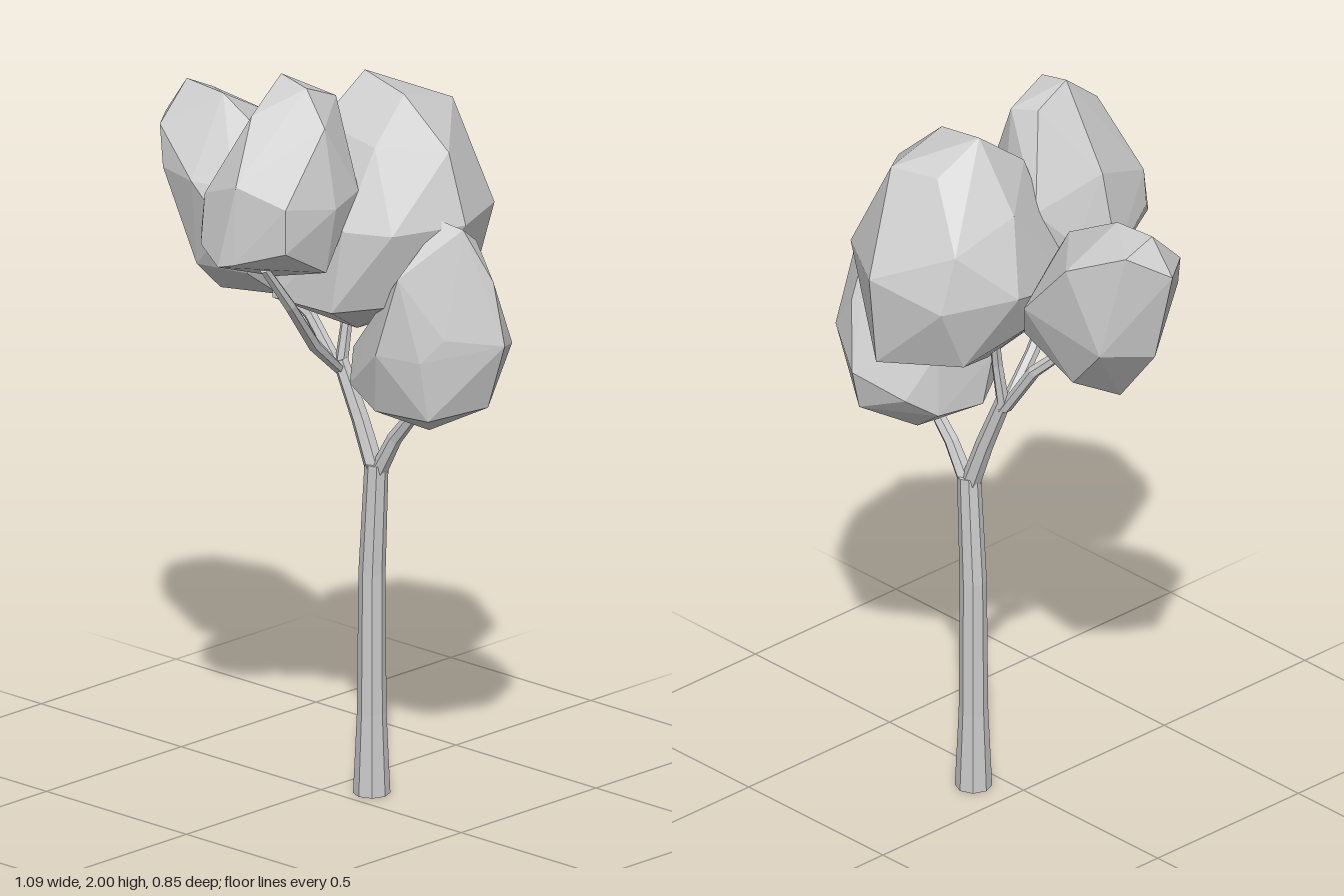
import * as THREE from 'three';
import { ConvexGeometry } from 'three/addons/geometries/ConvexGeometry.js';

const material = new THREE.MeshStandardMaterial({ color: 0xcccccc, flatShading: true });
const V = (p) => new THREE.Vector3(...p);

// Tapered limb: a cylinder whose rings follow [x, y, z, radius] stations
function limb(name, stations, sides) {
  const n = stations.length - 1;
  const geo = new THREE.CylinderGeometry(1, 1, n, sides, n);
  const pts = stations.map((s) => V(s.slice(0, 3)));
  const turns = pts.map((_, i) => {
    const dir = pts[Math.min(i + 1, n)].clone().sub(pts[Math.max(i - 1, 0)]).normalize();
    if (i === 0) dir.set(0, 1, 0);
    return new THREE.Quaternion().setFromUnitVectors(new THREE.Vector3(0, 1, 0), dir);
  });
  const pos = geo.attributes.position;
  const v = new THREE.Vector3();
  for (let i = 0; i < pos.count; i++) {
    v.fromBufferAttribute(pos, i);
    const k = Math.round(v.y + n / 2);
    v.setY(0).multiplyScalar(stations[k][3]).applyQuaternion(turns[k]).add(pts[k]);
    pos.setXYZ(i, v.x, v.y, v.z);
  }
  geo.computeVertexNormals();
  const mesh = new THREE.Mesh(geo, material);
  mesh.name = name;
  return mesh;
}

// Faceted leaf clump: the hull around a few rings of corners
function clump(name, corners) {
  const mesh = new THREE.Mesh(new ConvexGeometry(corners.map(V)), material);
  mesh.name = name;
  return mesh;
}

export function createModel() {
  const tree = new THREE.Group();
  tree.name = 'tree';

  // Trunk and branches
  tree.add(
    limb('trunk', [[0.11, 0, -0.073, 0.048], [0.11, 0.22, -0.073, 0.038], [0.112, 0.6, -0.072, 0.035], [0.13, 0.9, -0.07, 0.031]], 8),
    limb('mainBranch', [[0.13, 0.87, -0.07, 0.028], [0.08, 1.01, -0.062, 0.024], [0.02, 1.16, -0.05, 0.021]], 6),
    limb('rightBranch', [[0.13, 0.87, -0.07, 0.026], [0.19, 0.98, -0.075, 0.02], [0.28, 1.09, -0.08, 0.016]], 6),
    limb('leftBranch', [[0.02, 1.13, -0.05, 0.019], [-0.07, 1.27, -0.03, 0.017], [-0.13, 1.33, 0, 0.015], [-0.2, 1.42, 0, 0.013]], 6),
    limb('frontBranch', [[0.02, 1.13, -0.05, 0.019], [0.05, 1.24, 0.08, 0.018], [0.09, 1.385, 0.21, 0.016], [0.095, 1.51, 0.31, 0.013]], 6),
    limb('backBranch', [[0.02, 1.13, -0.05, 0.018], [0.025, 1.27, -0.07, 0.015], [0.01, 1.42, -0.1, 0.012]], 6),
  );

  // Leaf clumps, corners listed from the crown downwards
  tree.add(
    clump('backFoliage', [
      [0.05, 1.94, -0.11], [0.2, 1.91, -0.1], [0.2, 1.86, -0.28], [0.07, 1.86, -0.24],
      [0.34, 1.78, -0.12], [0.22, 1.8, 0.03], [0.03, 1.83, 0.03], [-0.08, 1.76, -0.11], [-0.06, 1.7, -0.3],
      [0.41, 1.6, -0.11], [0.33, 1.6, -0.3], [0.13, 1.61, -0.425], [-0.06, 1.55, -0.35],
      [-0.16, 1.57, -0.17], [-0.1, 1.5, 0.08], [0.22, 1.6, 0.15], [0.34, 1.6, 0.09],
      [0.31, 1.39, 0.03], [0.28, 1.35, -0.26], [0.13, 1.36, -0.4], [-0.06, 1.37, -0.27],
      [-0.1, 1.43, -0.08], [0, 1.38, 0.18], [0.2, 1.38, 0.17], [0.08, 1.26, -0.05],
    ]),
    clump('frontFoliage', [
      [0.04, 2, 0.19], [0.13, 1.98, 0.19], [0.12, 1.93, 0.07], [0.05, 1.94, 0.1], [0.04, 1.91, 0.3],
      [0.205, 1.89, 0.2], [-0.085, 1.77, 0.2], [0.08, 1.75, 0.4],
      [0.245, 1.68, 0.2], [0.22, 1.7, 0.09], [0.1, 1.7, 0.03], [-0.03, 1.7, 0.015],
      [-0.05, 1.7, 0.38], [0.2, 1.7, 0.34], [-0.09, 1.6, 0.1], [-0.14, 1.545, 0.2], [-0.07, 1.61, 0.37],
      [-0.04, 1.57, 0.405], [0.04, 1.53, 0.425], [0.08, 1.54, 0.41], [0.2, 1.58, 0.34],
      [0.21, 1.5, 0.2], [0.1, 1.5, 0.07], [-0.06, 1.53, 0.07], [0.02, 1.445, 0.19],
    ]),
    clump('leftFoliage', [
      [-0.48, 1.82, 0], [-0.35, 1.81, 0], [-0.47, 1.78, -0.085], [-0.48, 1.72, 0.1],
      [-0.545, 1.72, 0.01], [-0.17, 1.71, 0], [-0.33, 1.72, -0.165], [-0.305, 1.62, 0.165],
      [-0.44, 1.62, 0.13], [-0.11, 1.61, 0], [-0.19, 1.56, -0.18], [-0.19, 1.62, 0.13],
      [-0.49, 1.47, 0], [-0.42, 1.49, -0.13], [-0.18, 1.52, 0.172], [-0.32, 1.385, 0.13],
      [-0.1, 1.5, 0.12], [-0.14, 1.4, 0.13], [-0.14, 1.45, -0.13], [-0.3, 1.36, -0.11],
      [-0.13, 1.32, 0.02], [-0.34, 1.29, 0.02],
    ]),
    clump('rightFoliage', [
      [0.38, 1.62, -0.05], [0.43, 1.6, -0.08], [0.41, 1.55, -0.15], [0.49, 1.46, -0.13],
      [0.34, 1.48, 0.07], [0.24, 1.48, -0.1], [0.4, 1.37, -0.23], [0.54, 1.3, -0.12],
      [0.47, 1.27, -0.22], [0.44, 1.32, 0], [0.29, 1.27, 0.1], [0.4, 1.26, 0.05],
      [0.16, 1.28, -0.15], [0.115, 1.23, 0], [0.34, 1.2, -0.285], [0.2, 1.15, -0.23],
      [0.48, 1.12, -0.12], [0.34, 1.09, -0.26], [0.41, 1.1, 0.03], [0.25, 1.1, 0.06],
      [0.15, 1.15, 0.05], [0.12, 1.1, -0.03], [0.15, 1.1, -0.16], [0.27, 1.01, -0.12],
    ]),
  );
  return tree;
}
